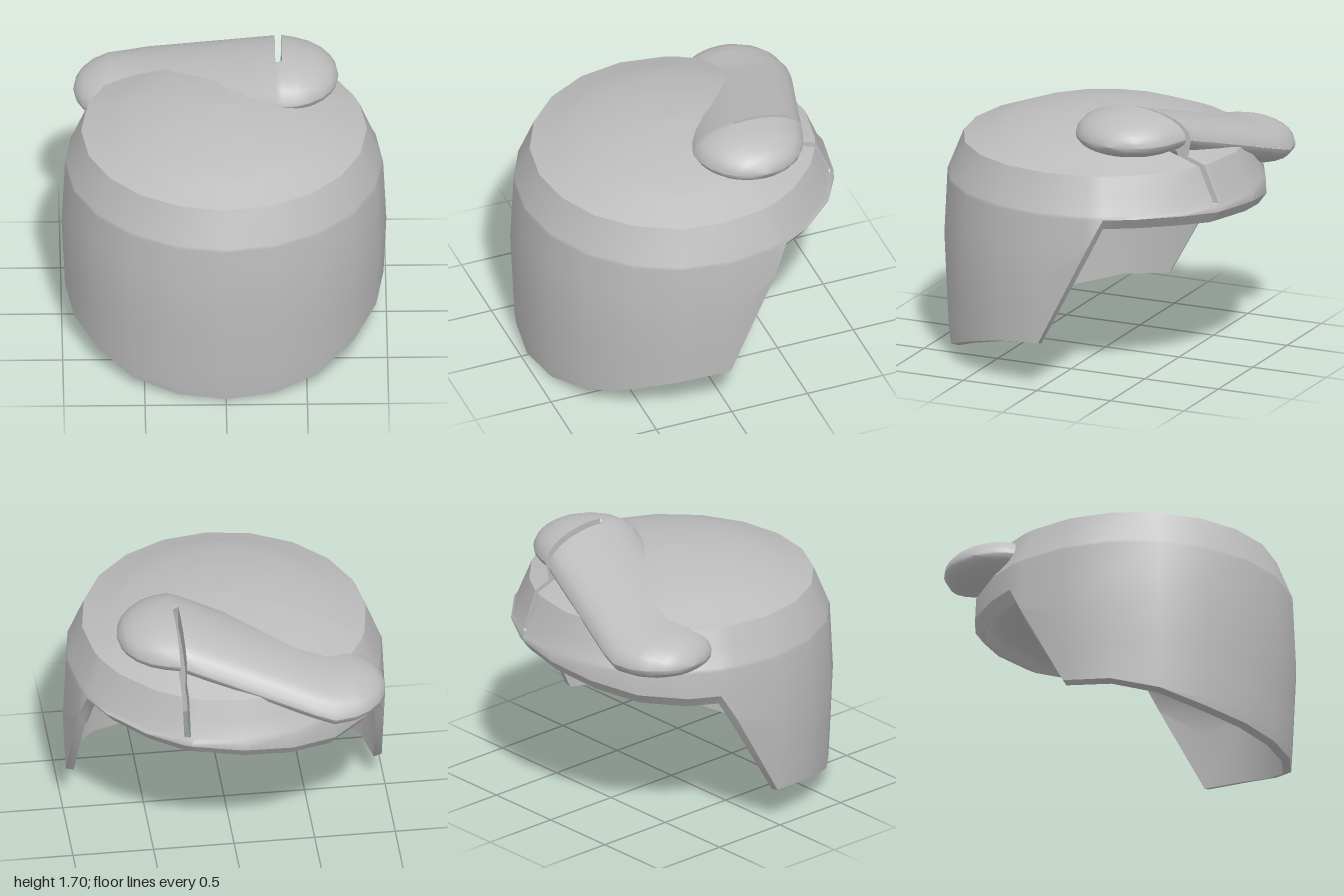
import * as THREE from 'three';

const { sin, cos, asin, sqrt, max, min, hypot, PI } = Math;

// Skin a list of rings; skip(i, j) leaves a quad open
function loft(rings, closed, skip = () => false) {
  const n = rings[0].length, index = [];
  for (let i = 0; i < rings.length - 1; i++) {
    for (let j = 0; j < (closed ? n : n - 1); j++) {
      if (skip(i, j)) continue;
      const k = (j + 1) % n;
      const a = i * n + j, b = i * n + k, c = a + n, d = b + n;
      index.push(a, c, b, b, c, d);
    }
  }
  const g = new THREE.BufferGeometry();
  g.setAttribute('position', new THREE.Float32BufferAttribute(rings.flat(2), 3));
  g.setIndex(index);
  g.computeVertexNormals();
  return g;
}

// Piecewise linear lookup in ascending [key, value] pairs
function lookup(table, v) {
  if (v <= table[0][0]) return table[0][1];
  for (let i = 1; i < table.length; i++) {
    const [k0, v0] = table[i - 1], [k1, v1] = table[i];
    if (v <= k1) return v0 + (v1 - v0) * (v - k0) / (k1 - k0);
  }
  return table[table.length - 1][1];
}

// Swept fringe: a flattened capsule in plan, sloping from A down to B
const A = [0.36, -0.35], B = [-0.57, -0.64], R = 0.35, RISE = 0.17, DROP = 0.12;
const along = (t) => [B[0] + (A[0] - B[0]) * t, B[1] + (A[1] - B[1]) * t];
function fringeBulge(x, z) {
  const dx = A[0] - B[0], dz = A[1] - B[1];
  const t = ((x - B[0]) * dx + (z - B[1]) * dz) / (dx * dx + dz * dz);
  const [px, pz] = along(max(0, min(1, t)));
  const d = min(1, hypot(x - px, z - pz) / R);
  return sqrt(1 - d * d);
}
const fringeRim = (x) => max(1.24, min(1.53, 1.53 + 0.312 * (x - A[0])));
function fringeSpan(x) {
  let lo = Infinity, hi = -Infinity;
  for (let k = 0; k <= 200; k++) {
    const [cx, cz] = along(k / 200);
    const s = R * R - (x - cx) ** 2;
    if (s < -1e-9) continue;
    const half = sqrt(max(0, s));
    lo = min(lo, cz - half);
    hi = max(hi, cz + half);
  }
  return [lo, hi];
}

// Sides of the narrow parting cut through fringe, crown and wall
const PART = [0.32, 0.36];

export function createModel() {
  const model = new THREE.Group();
  model.name = 'hairPiece';
  const grey = new THREE.MeshStandardMaterial({ color: 0xbcbcbc });
  grey.name = 'grey';
  const add = (name, geometry) => {
    const m = new THREE.Mesh(geometry, grey);
    m.name = name;
    model.add(m);
  };

  // Lower edge height by angle from the front, for each side
  const leftEdge = [[0, 0.015], [18, 0.03], [36, 0.08], [54, 0.18], [72, 0.265], [90, 0.3],
    [108, 0.92], [114, 1.12], [126, 1.12], [144, 1.11], [162, 1.09], [180, 1.07]];
  const rightEdge = [[0, 0.015], [18, 0.025], [36, 0.06], [54, 0.14], [72, 0.2], [90, 0.23],
    [108, 0.79], [114, 0.96], [126, 0.96], [144, 0.98], [162, 1.03], [180, 1.07]];
  const columns = [
    ...leftEdge.map(([deg, h]) => ({ t: deg * PI / 180, h })),
    ...rightEdge.slice(1, -1).reverse().map(([deg, h]) => ({ t: -deg * PI / 180, h })),
  ];
  // Two extra columns follow the sides of the parting at constant x
  const partColumn = 10;
  columns.splice(partColumn, 0, { x: PART[1], t: 2.75, h: 1.09 }, { x: PART[0], t: 2.79, h: 1.09 });

  const outerRadius = [[0, 0.96], [0.1, 0.972], [0.25, 0.98], [0.7, 1], [1.12, 0.98], [1.37, 0.88]];
  const outer = (c, y) => lookup(outerRadius, y) + (y < 1.13 ? 0.015 * max(0, -cos(c.t)) : 0);
  const ring = (f) => columns.map((c) => {
    const [r, y] = f(c);
    const t = c.x ? PI - asin(c.x / max(r, 0.62)) : c.t;
    return [r * sin(t), y, r * cos(t)];
  });
  const flatRing = (r, y) => ring(() => [r, y]);
  const innerEdge = (c) =>
    [outer(c, c.h) - 0.05, max(0, c.h - (c.h > 0.5 ? 0.07 : 0.015))];

  // Crown, open inside the fringe and along the parting
  const crownHeight = [[0, 1.56], [0.3, 1.54], [0.6, 1.48], [0.88, 1.37]];
  const crown = [0.001, 0.15, 0.3, 0.4, 0.5, 0.62, 0.7, 0.78, 0.88]
    .map((r) => flatRing(r, lookup(crownHeight, r)));
  const buried = ([x, y, z]) => {
    const b = fringeBulge(x, z), rim = fringeRim(x);
    return b > 0 && y < rim + RISE * b - 0.01 && y > rim - DROP * b + 0.005;
  };
  add('crown', loft(crown, true, (i, j) => {
    const k = (j + 1) % columns.length;
    const corners = [crown[i][j], crown[i][k], crown[i + 1][j], crown[i + 1][k]];
    return corners.every(buried) || (j === partColumn && i >= 5);
  }));

  // Outer wall, down to the cut edge
  const wall = [1.37, 1.25, 1.14, 1.12, 0.9, 0.7, 0.45, 0.25, 0.1, 0].map((level) =>
    ring((c) => {
      const y = max(level, c.h + level * 0.001);
      return [outer(c, y), y];
    }));
  add('outerWall', loft(wall, true, (i, j) => i < 2 && j === partColumn));

  // Cut edge joining outside and inside
  add('rim', loft([ring((c) => [outer(c, c.h), c.h]), ring(innerEdge)], true));

  // Inner wall curving into the ceiling
  const inner = [ring(innerEdge)];
  for (let k = 0; k <= 6; k++) {
    const a = k / 6 * PI / 2;
    inner.push(ring((c) => {
      const [r, y] = innerEdge(c);
      const y0 = max(y + 0.005, 0.65);
      const r0 = min(r, 0.93);
      return [0.47 + (r0 - 0.47) * cos(a), y0 + (1.15 - y0) * sin(a)];
    }));
  }
  add('innerWall', loft(inner, true));

  // Round recess in the ceiling
  add('recessWall', loft([flatRing(0.47, 1.15), flatRing(0.43, 1.35)], true));
  add('recessTop', loft([flatRing(0.43, 1.35), flatRing(0.001, 1.35)], true));

  // Fringe, skinned over cross-sections along x
  const xs = [-0.92, -0.9, -0.86, -0.79, -0.7, -0.57, -0.45, -0.3, -0.15, 0, 0.12, 0.22,
    ...PART, 0.45, 0.53, 0.61, 0.66, 0.69, 0.71];
  const section = (height, dir) => (x) => {
    const [lo, hi] = fringeSpan(x), points = [];
    for (let j = 0; j <= 12; j++) {
      const z = (lo + hi) / 2 + dir * (hi - lo) / 2 * cos(j / 12 * PI);
      points.push([x, fringeRim(x) + height * fringeBulge(x, z), z]);
    }
    return points;
  };
  const slot = xs.indexOf(PART[0]);
  add('fringeTop', loft(xs.map(section(RISE, 1)), false, (i, j) => i === slot && j >= 5));
  add('fringeUnderside', loft(xs.map(section(-DROP, -1)), false, (i, j) => i === slot && j < 7));

  // Upright faces on both sides of the parting
  PART.forEach((x, side) => {
    const edge = [...section(RISE, 1)(x).slice(5)];
    for (const r of [0.78, 0.88]) edge.push([x, lookup(crownHeight, r), -sqrt(r * r - x * x)]);
    for (const y of [1.25, 1.14]) edge.push([x, y, -sqrt(lookup(outerRadius, y) ** 2 - x * x)]);
    const deep = edge.map(([, y, z]) => [x, y + (1.05 - y) * 0.25, z + (-0.3 - z) * 0.2]);
    add('partingSide', loft(side ? [deep, edge] : [edge, deep], false));
  });

  return model;
}
